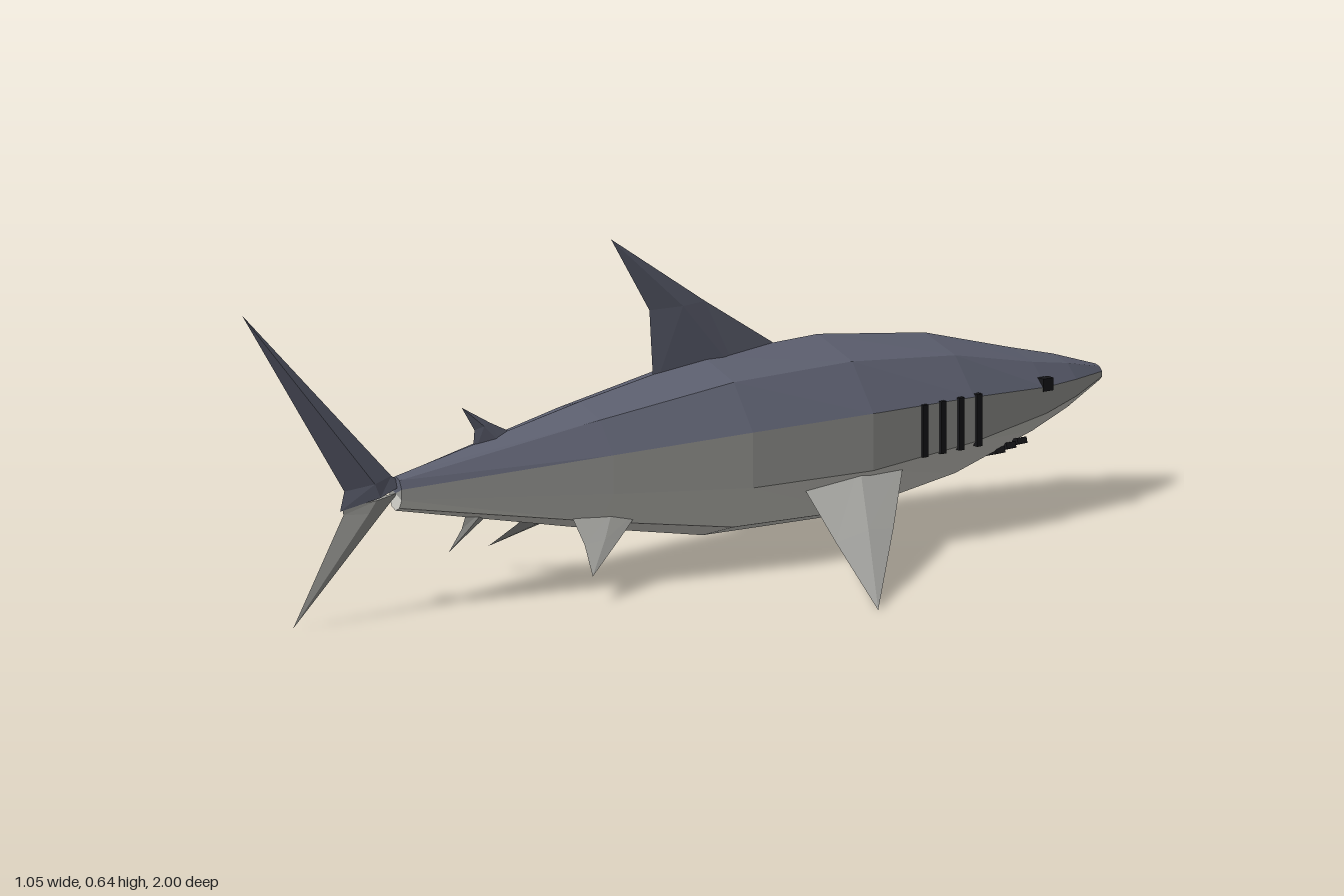
import * as THREE from 'three';

const V = (x, y, z) => new THREE.Vector3(x, y, z);
const mat = (name, color) => {
  const m = new THREE.MeshStandardMaterial({ color });
  m.name = name;
  return m;
};

// Faceted surface through rows of points; (row direction) x (point direction) faces out
function loft(rows) {
  const pos = [];
  const tri = (a, b, c) => {
    const n = b.clone().sub(a).cross(c.clone().sub(a));
    if (n.length() > 1e-9) for (const p of [a, b, c]) pos.push(p.x, p.y, p.z);
  };
  for (let i = 0; i < rows.length - 1; i++) {
    for (let j = 0; j < rows[i].length - 1; j++) {
      const a = rows[i][j], b = rows[i][j + 1], c = rows[i + 1][j], d = rows[i + 1][j + 1];
      tri(a, c, b);
      tri(b, c, d);
    }
  }
  const g = new THREE.BufferGeometry();
  g.setAttribute('position', new THREE.Float32BufferAttribute(pos, 3));
  g.computeVertexNormals();
  return g;
}

// Diamond-section fin: stations of [leading point, trailing point, half thickness], root to tip
function finGeometry(stations) {
  const mid = (s) => s[0].clone().lerp(s[1], 0.45);
  const root = stations[0], tip = stations[stations.length - 1];
  const n = mid(tip).sub(mid(root)).cross(root[1].clone().sub(root[0])).normalize();
  const rows = stations.map((s) => {
    const m = mid(s);
    return [s[0], m.clone().addScaledVector(n, s[2]), s[1], m.clone().addScaledVector(n, -s[2]), s[0]];
  });
  rows.unshift(Array(5).fill(mid(root)));
  return loft(rows);
}

export function createModel() {
  const group = new THREE.Group();
  const back = mat('slateBack', 0x5d6070);
  const grey = mat('greyFlank', 0x9c9c98);
  const pale = mat('paleBelly', 0xd9d8d1);
  const black = mat('black', 0x17171a);
  const add = (name, geo, m, p) => {
    const mesh = new THREE.Mesh(geo, m);
    mesh.name = name;
    if (p) mesh.position.copy(p);
    group.add(mesh);
    return mesh;
  };

  // Body rings: z, centre y, half width, half height
  const rings = [
    [-1, 0.234, 0, 0], [-1, 0.234, 0.022, 0.016], [-0.9, 0.231, 0.077, 0.052],
    [-0.8, 0.228, 0.118, 0.081], [-0.6, 0.226, 0.16, 0.139], [-0.35, 0.221, 0.179, 0.176],
    [-0.08, 0.221, 0.162, 0.171], [0.21, 0.225, 0.111, 0.12], [0.64, 0.23, 0.02, 0.033],
    [0.64, 0.23, 0, 0],
  ];
  const bodyPart = (from, to) => loft(rings.map(([z, cy, rx, ry]) => {
    const row = [];
    for (let k = from; k <= to; k++) {
      const a = k * Math.PI / 5;
      row.push(V(Math.sin(a) * rx, cy + Math.cos(a) * ry, z));
    }
    return row;
  }));
  add('upperBody', bodyPart(-2, 2), back);
  add('leftFlank', bodyPart(2, 3), grey);
  add('belly', bodyPart(3, 7), pale);
  add('rightFlank', bodyPart(7, 8), grey);

  // Fins on the centre line
  const centreFin = (name, m, stations) =>
    add(name, finGeometry(stations.map(([ly, lz, ty, tz, t]) => [V(0, ly, lz), V(0, ty, tz), t])), m);
  centreFin('dorsalFin', back, [
    [0.36, -0.3, 0.34, 0.035, 0.018], [0.497, -0.085, 0.497, 0.045, 0.01], [0.645, 0.135, 0.645, 0.135, 0]]);
  centreFin('rearDorsalFin', back, [
    [0.29, 0.33, 0.27, 0.46, 0.011], [0.335, 0.42, 0.325, 0.455, 0.005], [0.372, 0.485, 0.372, 0.485, 0]]);
  centreFin('analFin', grey, [
    [0.18, 0.39, 0.18, 0.47, 0.008], [0.135, 0.462, 0.14, 0.485, 0.004], [0.1, 0.515, 0.1, 0.515, 0]]);
  centreFin('upperTailLobe', back, [
    [0.245, 0.62, 0.213, 0.77, 0.016], [0.265, 0.65, 0.25, 0.76, 0.015], [0.62, 1, 0.62, 1, 0]]);
  centreFin('lowerTailLobe', grey, [
    [0.23, 0.635, 0.22, 0.765, 0.012], [0.2, 0.668, 0.205, 0.762, 0.01], [0.005, 0.88, 0.005, 0.88, 0]]);

  // Half width of the body's flat flank at a given z
  const flank = (z) => {
    const i = rings.findIndex((r) => r[0] > z);
    const a = rings[i - 1], b = rings[i];
    return 0.951 * (a[2] + (b[2] - a[2]) * (z - a[0]) / (b[0] - a[0]));
  };

  // Paired parts
  for (const [side, s] of [['left', 1], ['right', -1]]) {
    add(side + 'PectoralFin', finGeometry([
      [V(0.12 * s, 0.163, -0.46), V(0.12 * s, 0.15, -0.22), 0.018],
      [V(0.31 * s, 0.09, -0.29), V(0.31 * s, 0.082, -0.155), 0.011],
      [V(0.525 * s, 0.001, -0.09), V(0.525 * s, 0.001, -0.09), 0]]), grey);
    add(side + 'PelvicFin', finGeometry([
      [V(0.06 * s, 0.14, 0.11), V(0.06 * s, 0.14, 0.27), 0.009],
      [V(0.105 * s, 0.1, 0.195), V(0.105 * s, 0.1, 0.277), 0.005],
      [V(0.16 * s, 0.053, 0.3), V(0.16 * s, 0.053, 0.3), 0]]), grey);

    add(side + 'Eye', new THREE.BoxGeometry(0.018, 0.024, 0.024), black, V(0.107 * s, 0.258, -0.802));

    for (let i = 0; i < 4; i++) {
      const z = -0.475 - i * 0.045;
      add(side + 'GillSlit' + (i + 1), new THREE.BoxGeometry(0.012, 0.1, 0.012), black,
        V(flank(z) * s, 0.224, z));
    }

    // Corner of the mouth, stepped along the jaw
    for (let i = 0; i < 3; i++) {
      const jaw = add(side + 'Mouth' + (i + 1), new THREE.BoxGeometry(0.034, 0.012, 0.022), black,
        V((0.078 - i * 0.005) * s, 0.149 - i * 0.007, -0.757 + i * 0.022));
      jaw.rotation.z = 0.3 * s;
    }
  }
  return group;
}
